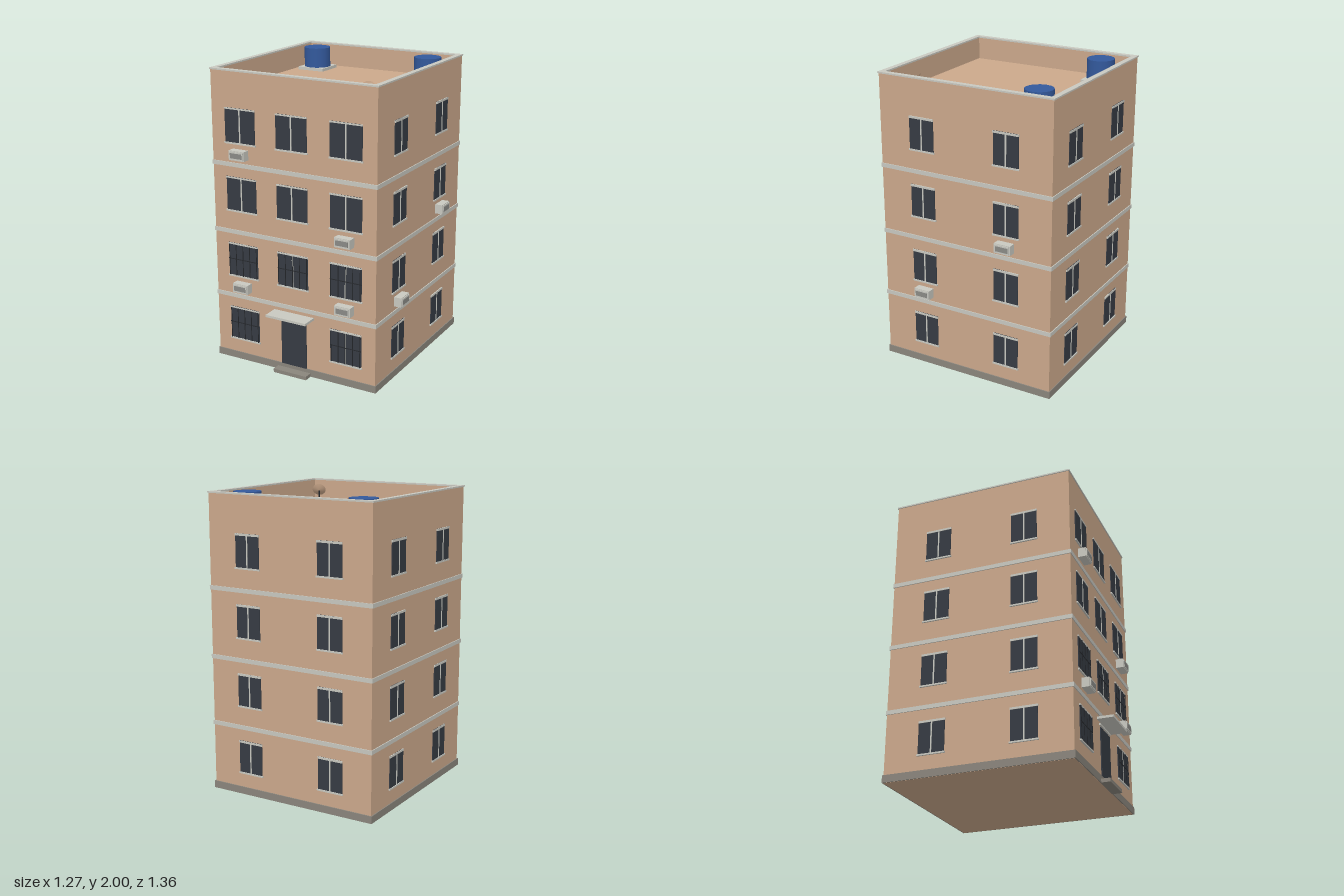
import * as THREE from 'three';

const mat = (name, color, extra = {}) => Object.assign(new THREE.MeshStandardMaterial({ color, ...extra }), { name });

export function createModel() {
  const wall = mat('wall', 0xcba88b);
  const dishMat = mat('dish', 0xcba88b, { side: THREE.DoubleSide });
  const trim = mat('trim', 0xc8c8c0);
  const base = mat('base', 0x8a857c);
  const glass = mat('glass', 0x363b43);
  const iron = mat('iron', 0x25282c);
  const blue = mat('tankBlue', 0x33599c);
  const vent = mat('vent', 0x8a8a86);

  const root = new THREE.Group();
  root.name = 'apartmentBlock';
  const CX = -0.028, CZ = -0.054, W = 1.205, D = 1.245, ROOF = 1.84;
  const FLOORS = [0.155, 0.613, 1.071, 1.529];

  const add = (parent, name, geo, m, x = 0, y = 0, z = 0) => {
    const mesh = new THREE.Mesh(geo, m);
    mesh.name = name;
    mesh.position.set(x, y, z);
    parent.add(mesh);
    return mesh;
  };
  // box given by its centre in x, bottom in y and back in z
  const box = (parent, name, m, w, h, d, x, y, z) =>
    add(parent, name, new THREE.BoxGeometry(w, h, d), m, x, y + h / 2, z + d / 2);
  const group = (name) => {
    const g = new THREE.Group();
    g.name = name;
    root.add(g);
    return g;
  };
  // rectangular ring around the building: outer overhang, inner inset from the wall line
  const rect = (S, w, d) => {
    const s = new S();
    s.moveTo(-w / 2, -d / 2); s.lineTo(w / 2, -d / 2); s.lineTo(w / 2, d / 2); s.lineTo(-w / 2, d / 2);
    s.closePath();
    return s;
  };
  const ring = (name, m, out, inset, y, h) => {
    const s = rect(THREE.Shape, W + 2 * out, D + 2 * out);
    s.holes.push(rect(THREE.Path, W - 2 * inset, D - 2 * inset));
    const g = new THREE.ExtrudeGeometry(s, { depth: h, bevelEnabled: false }).rotateX(-Math.PI / 2);
    return add(root, name, g, m, CX, y, CZ);
  };

  // body, plinth, floor bands, parapet
  box(root, 'body', wall, W, ROOF, D, CX, 0, CZ - D / 2);
  ring('plinth', base, 0.007, 0.01, 0.001, 0.049);
  [0.45, 0.905, 1.365].forEach((y) => ring('floorBand', trim, 0.006, 0.01, y, 0.028));
  ring('parapet', wall, 0, 0.027, ROOF, 0.15);
  ring('coping', trim, 0.006, 0.031, 1.99, 0.01);

  // place a part on one side of the building; u runs along world x or z
  const SIDES = {
    front: [0, (u) => [u, CZ + D / 2]],
    back: [Math.PI, (u) => [u, CZ - D / 2]],
    right: [-Math.PI / 2, (u) => [CX - W / 2, u]],
    left: [Math.PI / 2, (u) => [CX + W / 2, u]],
  };
  const place = (g, side, u, y) => {
    const [angle, at] = SIDES[side];
    const [x, z] = at(u);
    g.position.set(x, y, z);
    g.rotation.y = angle;
  };

  const windowUnit = (side, u, y, w, h, lintel, mullion = true, grille = false) => {
    const g = group(side + 'Window');
    box(g, 'pane', glass, w, h, 0.006, 0, 0, -0.001);
    if (mullion) box(g, 'mullion', trim, 0.009, h, 0.004, 0, 0, 0.004);
    box(g, 'lintel', trim, w + 0.004, lintel, 0.008, 0, h - lintel, 0);
    box(g, 'sill', trim, w + 0.012, 0.011, 0.01, 0, -0.011, 0);
    if (grille) {
      for (let i = -2; i <= 2; i++) box(g, 'grilleBar', iron, 0.005, h - lintel, 0.003, i * w * 0.235, 0, 0.008);
      box(g, 'grilleRail', iron, w, 0.005, 0.003, 0, h * 0.5, 0.007);
    }
    place(g, side, u, y);
  };

  const COLS = [-0.414, -0.03, 0.361];
  FLOORS.forEach((y, f) => {
    COLS.forEach((x, c) => {
      if (f === 0 && c === 1) return; // entrance
      windowUnit('front', x, y, 0.226, 0.226, 0.01, f > 1 || c > 0, f < 2);
    });
    for (const side of ['left', 'right'])
      for (const z of [0.255, -0.357]) windowUnit(side, z, y, 0.178, 0.217, 0.014);
    for (const x of [-0.333, 0.278]) windowUnit('back', x, y, 0.178, 0.217, 0.014);
  });

  // air conditioners
  const airCon = (side, u, y) => {
    const g = group('airConditioner');
    box(g, 'casing', trim, 0.116, 0.064, 0.052, 0, -0.032, 0);
    box(g, 'facePlate', trim, 0.104, 0.054, 0.006, 0, -0.027, 0.052);
    box(g, 'vent', vent, 0.088, 0.034, 0.002, 0, -0.017, 0.0575);
    place(g, side, u, y);
  };
  [[COLS[0], 1.455], [COLS[2], 0.998], [COLS[0], 0.54], [COLS[2], 0.54]].forEach(([x, y]) => airCon('front', x, y));
  airCon('left', 0.255, 0.54);
  airCon('left', -0.357, 0.998);

  // entrance
  const door = group('entrance');
  box(door, 'door', glass, 0.19, 0.325, 0.007, 0, 0.05, 0);
  box(door, 'doorLintel', trim, 0.215, 0.012, 0.01, 0, 0.385, 0);
  box(door, 'canopy', trim, 0.302, 0.016, 0.109, 0, 0.41, 0);
  box(door, 'step', base, 0.25, 0.025, 0.066, 0.0, 0, 0);
  place(door, 'front', -0.028, 0);

  // rooftop water tanks
  for (const x of [-0.459, 0.405]) {
    box(root, 'tankSlab', trim, 0.2, 0.02, 0.2, x, ROOF, -0.59);
    add(root, 'waterTank', new THREE.CylinderGeometry(0.092, 0.092, 0.135, 16), blue, x, ROOF + 0.0875, -0.489);
  }

  // rooftop dish on a pole
  add(root, 'dishPole', new THREE.CylinderGeometry(0.006, 0.006, 0.09, 8), iron, 0.41, ROOF + 0.045, 0.38);
  const bowl = [[0.001, 0], [0.025, 0.004], [0.047, 0.014]].map(([r, y]) => new THREE.Vector2(r, y));
  const dish = add(root, 'dish', new THREE.LatheGeometry(bowl, 16), dishMat, 0.41, 1.93, 0.378);
  dish.quaternion.setFromUnitVectors(new THREE.Vector3(0, 1, 0), new THREE.Vector3(0.37, 0.5, 0.78).normalize());

  return root;
}
